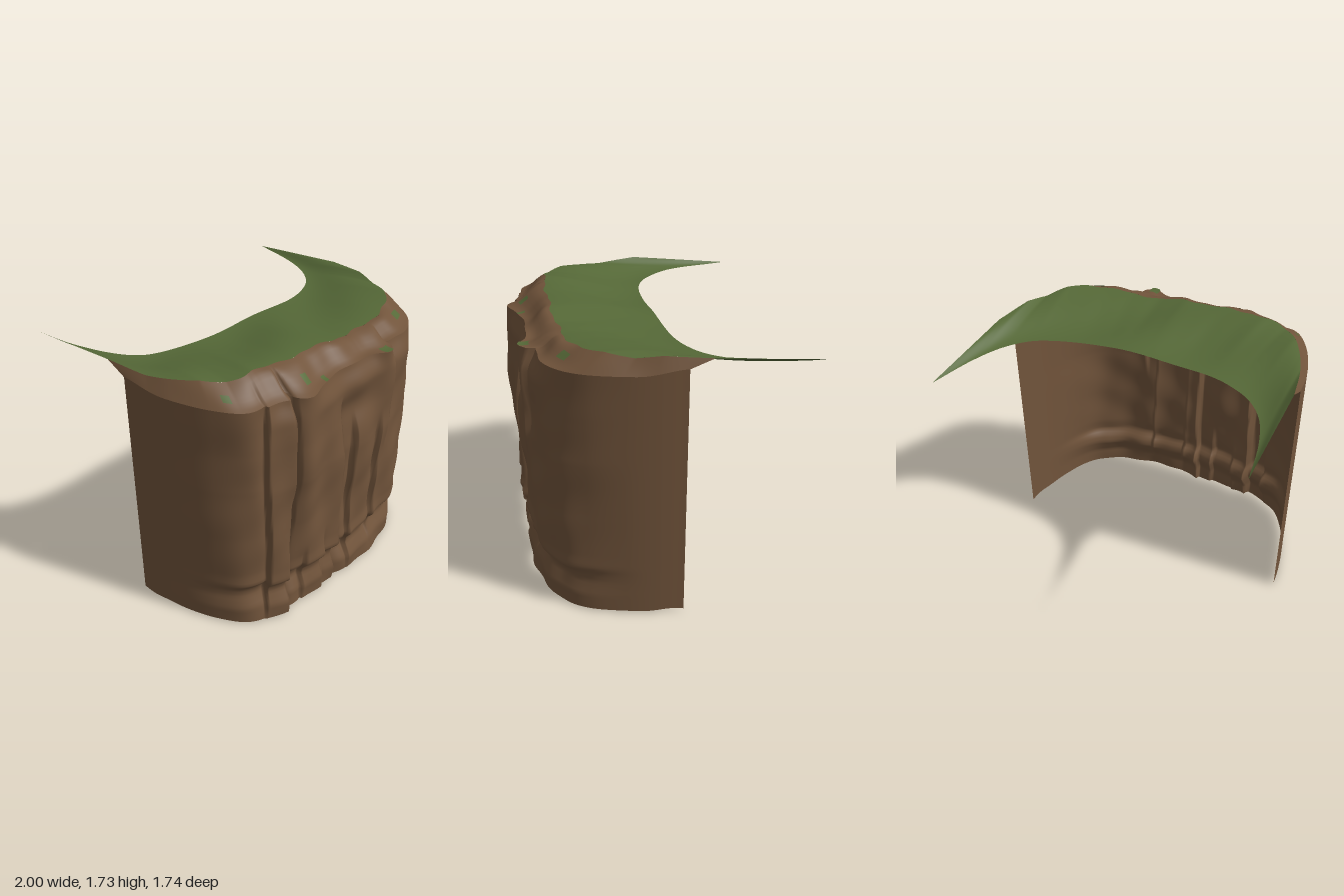
import * as THREE from 'three';

const brown = new THREE.MeshStandardMaterial({ color: 0x71543b, side: THREE.DoubleSide });
brown.name = 'earth brown';
const green = new THREE.MeshStandardMaterial({ color: 0x556837, side: THREE.DoubleSide });
green.name = 'grass green';

const { clamp, lerp, smoothstep } = THREE.MathUtils;

// Plan curves (x, z) given for one half and mirrored
function planCurve(half) {
  const all = [...half.slice(1).reverse().map(([x, z]) => [-x, z]), ...half];
  return new THREE.CatmullRomCurve3(all.map(([x, z]) => new THREE.Vector3(x, 0, z)));
}
const wallPlan = planCurve([[0, 0.81], [0.2, 0.815], [0.4, 0.805], [0.6, 0.765], [0.76, 0.67],
  [0.86, 0.53], [0.94, 0.32], [0.98, 0.14], [1, -0.03]]);
const rimPlan = planCurve([[0, 0.585], [0.2, 0.58], [0.4, 0.57], [0.57, 0.55], [0.72, 0.5],
  [0.82, 0.4], [0.9, 0.25], [0.95, 0.1], [1, -0.17]]);
const backPlan = planCurve([[0, -0.065], [0.15, -0.065], [0.3, -0.07], [0.45, -0.085], [0.6, -0.125],
  [0.74, -0.2], [0.86, -0.35], [0.94, -0.56], [1, -0.88]]);

// Height of the grass edge from left to right along the rim
const rimHeight = [1.7, 1.685, 1.7, 1.72, 1.71, 1.735, 1.725, 1.715, 1.71,
  1.675, 1.675, 1.685, 1.7, 1.71, 1.69, 1.71, 1.69];
// Vertical wall profile: height, outward offset
const profile = [[0, 0], [0.12, 0], [0.22, -0.045], [0.27, -0.035], [0.32, 0.01], [0.4, 0],
  [0.7, 0], [1.05, 0.012], [1.3, 0], [1.65, 0]];
// Vertical cracks: x, depth, side that is set back, lower end, upper end
const cracks = [[-0.64, 0.045, -1, 0.1, 1.6], [-0.48, 0.065, 1, 0, 1.75], [-0.46, 0.035, -1, 0.6, 1.7],
  [-0.05, 0.05, 1, 0, 1.35], [0.07, 0.035, -1, 0.1, 1.2], [0.33, 0.035, -1, 0.2, 1.1],
  [0.41, 0.035, 1, 1, 1.7], [-0.17, 0.03, 1, 0, 0.45], [-0.35, 0.025, -1, 0, 0.4]];

function sample(table, x) {
  let k = 0;
  while (k < table.length - 2 && x > table[k + 1][0]) k++;
  const [a, b] = [table[k], table[k + 1]];
  return lerp(a[1], b[1], clamp((x - a[0]) / (b[0] - a[0]), 0, 1));
}
const heights = rimHeight.map((h, i) => [i / 16, h]);
const bump = (x, centre, width) => Math.exp(-(((x - centre) / width) ** 2));

// Rock relief measured outwards from the wall plan
function relief(x, y) {
  let d = sample(profile, y + 0.006 * Math.sin(x * 11));
  d += 0.008 * Math.sin(x * 9 + 2 * Math.sin(y * 3)) + 0.006 * Math.sin(y * 8 + x * 5)
    + 0.006 * Math.sin(x * 23 + y * 4) + 0.003 * Math.sin(y * 19 - x * 13);
  d += 0.03 * bump(x, -0.38, 0.12) * smoothstep(y, 0.35, 0.9);
  // Hollow below the central overhang
  d -= 0.03 * bump(x, 0.08, 0.16) * bump(y, 1.33, 0.1);
  // The middle of the crown leans back except at two buttresses
  const lean = 1 - clamp(bump(x, -0.38, 0.1) + 0.8 * bump(x, 0.34, 0.06), 0, 1);
  d -= 0.055 * smoothstep(y, 1.47, 1.62) * lean * (1 - smoothstep(Math.abs(x), 0.5, 0.75));
  for (const [cx, depth, side, low, high] of cracks) {
    const s = (x - cx - 0.01 * Math.sin(y * 4 + cx * 20)) * side;
    const span = smoothstep(y, low - 0.15, low + 0.15) * (1 - smoothstep(y, high - 0.1, high + 0.1));
    const edge = smoothstep(s, -0.008, 0.008);
    d += depth * span * lerp(0.3 * Math.exp(Math.min(s, 0) / 0.1), -Math.exp(-Math.max(s, 0) / 0.05), edge);
  }
  return d * (1 - smoothstep(Math.abs(x), 0.7, 0.98));
}

// Point on the wall face at plan position u and height y
function wallPoint(u, y) {
  const p = wallPlan.getPoint(u), t = wallPlan.getTangent(u);
  const d = relief(p.x, y);
  return new THREE.Vector3(clamp(p.x - t.z * d, -1, 1), y, p.z + t.x * d);
}
function rimPoint(u) {
  const p = rimPlan.getPoint(u);
  const mid = 1 - smoothstep(Math.abs(p.x), 0.6, 0.95);
  return new THREE.Vector3(clamp(p.x, -1, 1), sample(heights, u),
    p.z + mid * (0.01 * Math.sin(p.x * 16) + 0.006 * Math.sin(p.x * 37)));
}
const wallTop = (u) => 1.605 + 0.035 * smoothstep(Math.abs(u - 0.5), 0.4, 0.5);

function wall(u, v) {
  const x = 2 * u - 1;
  const foot = 0.015 + 0.01 * Math.sin(x * 22) * smoothstep(Math.abs(x), 0.75, 0.95);
  return wallPoint(u, lerp(foot, wallTop(u), v));
}
// Shoulder from the wall top to the grass edge, a shallow shelf below a steeper bank
function shoulder(u, v) {
  const p = wallPoint(u, wallTop(u)).lerp(rimPoint(u), v);
  p.y += 0.008 * Math.sin(v * Math.PI) * Math.sin(u * 40) * Math.sin(u * Math.PI);
  p.y -= 0.012 * Math.sin(v * Math.PI * 2) * (1 - smoothstep(Math.abs(u - 0.5), 0.15, 0.3));
  return p;
}
function grass(u, v) {
  const a = rimPoint(u), b = backPlan.getPoint(u);
  b.x = clamp(b.x, -1, 1);
  b.y = 1.615 + 0.02 * bump(b.x, 0, 0.25);
  const p = a.clone().lerp(b, v);
  const ends = Math.abs(2 * u - 1) ** 6;
  p.y = lerp(a.y, b.y, lerp(v * v * (3 - 2 * v), v, ends));
  p.y += 0.01 * Math.sin(v * 2.6) * (1 - ends) * Math.sin(p.x * 9 + p.z * 6);
  return p;
}

// Builds a smooth sheet from a point rule over a rectangle of (u, v)
function sheet(name, rule, cols, rows, material, [u0, u1, v0, v1] = [0, 1, 0, 1]) {
  const pos = [], index = [];
  for (let j = 0; j <= rows; j++) {
    for (let i = 0; i <= cols; i++) {
      pos.push(...rule(lerp(u0, u1, i / cols), lerp(v0, v1, j / rows)).toArray());
      if (i === cols || j === rows) continue;
      const a = j * (cols + 1) + i, c = a + cols + 1;
      index.push(a, a + 1, c + 1, a, c + 1, c);
    }
  }
  const g = new THREE.BufferGeometry();
  g.setAttribute('position', new THREE.Float32BufferAttribute(pos, 3));
  g.setIndex(index);
  g.computeVertexNormals();
  const mesh = new THREE.Mesh(g, material);
  mesh.name = name;
  return mesh;
}

export function createModel() {
  const model = new THREE.Group();
  model.name = 'cliff';
  model.add(
    sheet('rockWall', wall, 300, 80, brown),
    sheet('rockShoulder', shoulder, 300, 8, brown),
    sheet('grassTop', grass, 120, 30, green),
  );
  // Small moss patches resting on the shoulder: plan position, depth, half width
  const moss = (u, v) => shoulder(u, v).add(new THREE.Vector3(0, 0.005, 0.004));
  const patches = [[0.228, 0.4, 0.01], [0.4, 0.4, 0.007], [0.44, 0.1, 0.005], [0.605, 0.1, 0.01], [0.727, 0.5, 0.015]];
  for (const [u, v, w] of patches) {
    model.add(sheet('mossPatch', moss, 8, 4, green, [u - w, u + w, v - 0.1, v + 0.15]));
  }
  return model;
}
